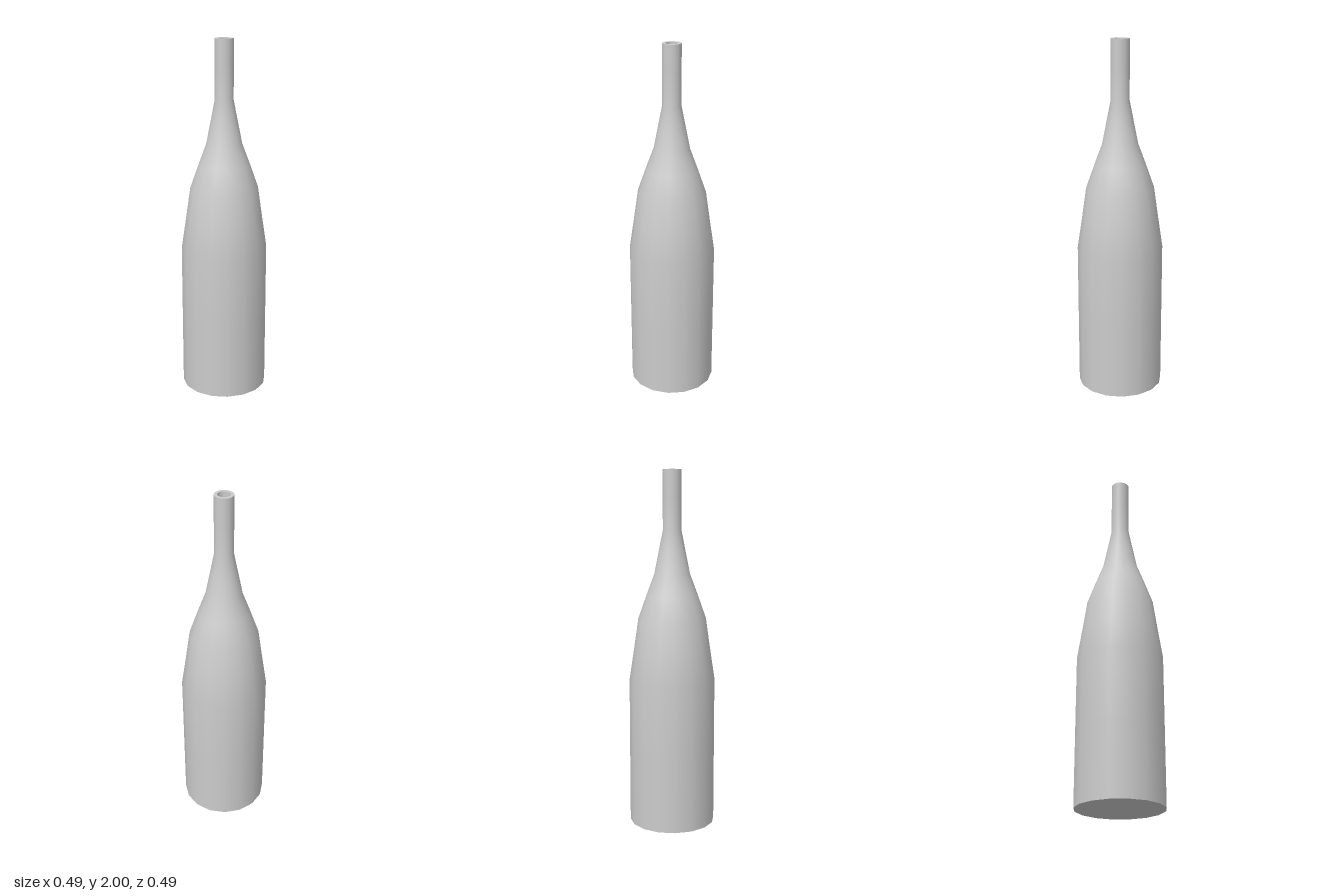
import * as THREE from 'three';

const SIDES = 16;

export function createModel() {
  const group = new THREE.Group();
  const material = new THREE.MeshStandardMaterial({ color: 0xcccccc });

  // Revolve a [radius, height] profile; separate sections keep sharp edges between them
  const addSection = (name, profile) => {
    const points = profile.map(([r, y]) => new THREE.Vector2(r, y));
    const mesh = new THREE.Mesh(new THREE.LatheGeometry(points, SIDES), material);
    mesh.name = name;
    group.add(mesh);
  };

  addSection('base', [[0, 0], [0.243, 0]]);

  // Straight body, tapering shoulder and narrow neck, smooth shaded
  addSection('bottleWall', [
    [0.243, 0], [0.243, 0.42], [0.243, 0.83], [0.217, 1.0], [0.191, 1.18],
    [0.145, 1.31], [0.1, 1.43], [0.076, 1.55], [0.052, 1.67], [0.052, 1.85], [0.052, 2],
  ]);

  // Open mouth
  addSection('rim', [[0.052, 2], [0.034, 2]]);
  addSection('mouthWall', [[0.034, 2], [0.034, 1.67]]);
  addSection('mouthFloor', [[0.034, 1.67], [0, 1.67]]);

  group.name = 'bottle';
  return group;
}
